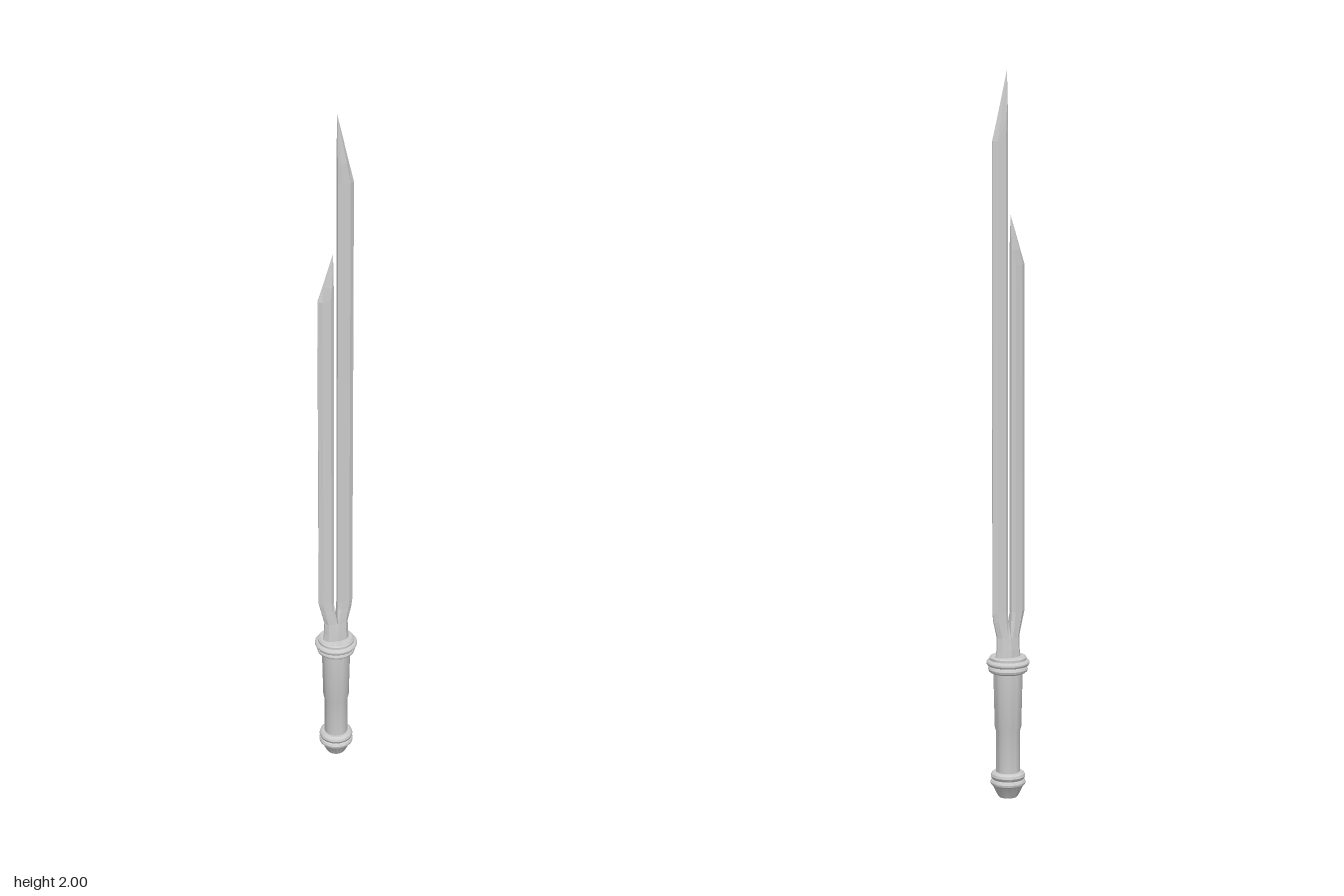
import * as THREE from 'three';
import { toCreasedNormals } from 'three/addons/utils/BufferGeometryUtils.js';

const metal = new THREE.MeshStandardMaterial({ color: 0xcccccc });
const bladeMetal = new THREE.MeshStandardMaterial({ color: 0xcccccc, flatShading: true });

// Turned part from [radius, y] points, bottom to top
function turned(name, points) {
  const profile = points.map(([r, y]) => new THREE.Vector2(r, y));
  const mesh = new THREE.Mesh(toCreasedNormals(new THREE.LatheGeometry(profile, 32), 0.5), metal);
  mesh.name = name;
  return mesh;
}

// One prong, lofted through six-sided sections.
// Rows: [y, inner x, outer x, inner half thickness, ridge half thickness, outer half thickness]
function prong(name, rows, side) {
  const position = [], index = [];
  for (const [y, xi, xo, zi, zr, zo] of rows) {
    const a = xi + (xo - xi) * 0.22, b = xi + (xo - xi) * 0.74;
    const half = [[xi, zi], [a, zr], [b, zr * 0.8], [xo, zo]];
    for (const [x, z] of half) position.push(side * x, y, z);
    for (const [x, z] of half.slice().reverse()) position.push(side * x, y, -z);
  }
  const n = 8;
  const tri = (a, b, c) => (side > 0 ? index.push(a, b, c) : index.push(a, c, b));
  for (let r = 0; r < rows.length - 1; r++) {
    for (let i = 0; i < n; i++) {
      const j = (i + 1) % n, p = r * n, q = p + n;
      tri(p + i, p + j, q + j);
      tri(p + i, q + j, q + i);
    }
  }
  const geometry = new THREE.BufferGeometry();
  geometry.setAttribute('position', new THREE.Float32BufferAttribute(position, 3));
  geometry.setIndex(index);
  geometry.computeVertexNormals();
  const mesh = new THREE.Mesh(geometry, bladeMetal);
  mesh.name = name;
  return mesh;
}

// Shared root below the split, then a straight prong with a slanted, sharpened end
function prongRows(inner, outer, shoulder, tip) {
  const cut = shoulder + (tip - shoulder) * 0.3;
  return [
    [0.385, 0, 0.039, 0.023, 0.021, 0.003],
    [0.42, 0, 0.035, 0.021, 0.019, 0.003],
    [0.455, 0, 0.034, 0.017, 0.016, 0.003],
    [0.5, inner * 0.8, 0.045, 0.007, 0.013, 0.002],
    [0.525, inner, outer, 0.006, 0.012, 0.002],
    [shoulder, inner, outer, 0.006, 0.012, 0.001],
    [cut, inner, outer - (outer - inner) * 0.3, 0.006, 0.011, 0],
    [tip, inner, inner, 0, 0, 0],
  ];
}

export function createModel() {
  const model = new THREE.Group();
  model.name = 'splitBladeSword';

  // Handle
  model.add(
    turned('pommel', [
      [0, 0], [0.026, 0], [0.031, 0.008], [0.043, 0.033], [0.048, 0.037], [0.049, 0.043],
      [0.046, 0.049], [0.043, 0.051], [0.046, 0.054], [0.048, 0.06], [0.046, 0.067], [0.04, 0.072], [0, 0.072],
    ]),
    turned('grip', [[0, 0.065], [0.033, 0.065], [0.034, 0.19], [0.037, 0.2], [0.041, 0.365], [0, 0.365]]),
    turned('guard', [
      [0, 0.355], [0.048, 0.355], [0.053, 0.359], [0.055, 0.365], [0.053, 0.371], [0.051, 0.374],
      [0.057, 0.376], [0.06, 0.381], [0.06, 0.385], [0.057, 0.389], [0.051, 0.391], [0.051, 0.398],
      [0.048, 0.401], [0.045, 0.399], [0, 0.399],
    ]),
  );

  // Blade
  const blade = new THREE.Group();
  blade.name = 'blade';
  blade.add(
    prong('longProng', prongRows(0.003, 0.048, 1.81, 2), 1),
    prong('shortProng', prongRows(0.008, 0.051, 1.48, 1.615), -1),
  );
  model.add(blade);
  return model;
}
